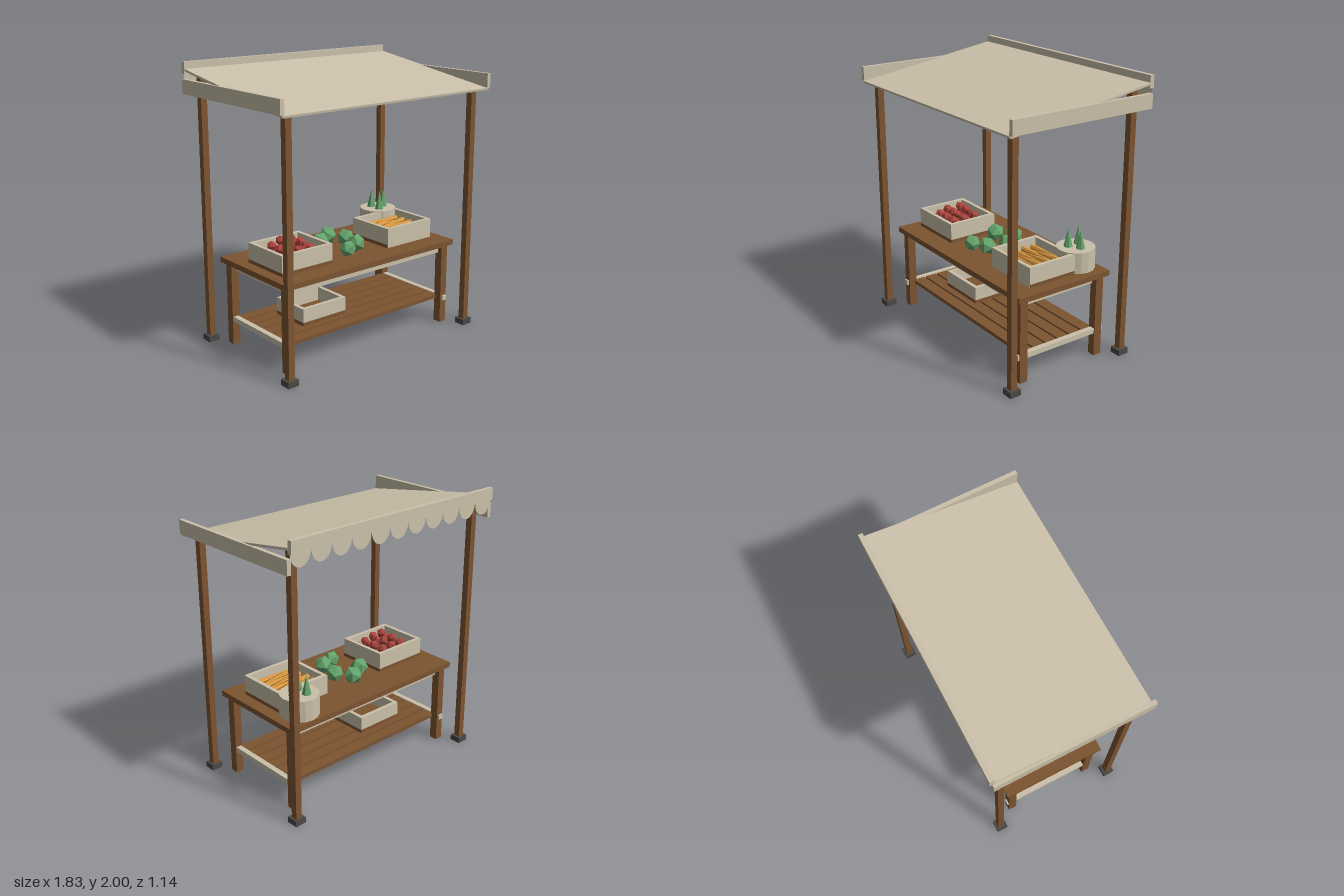
import * as THREE from 'three';

const mat = (name, color) => {
  const m = new THREE.MeshStandardMaterial({ color });
  m.name = name;
  return m;
};

export function createModel() {
  const root = new THREE.Group();
  root.name = 'marketStall';
  const wood = mat('wood', 0x7d5431);
  const cream = mat('cream', 0xcbc0aa);
  const iron = mat('iron', 0x4b4845);
  const green = mat('leafGreen', 0x65a56c);
  const red = mat('tomatoRed', 0xae443d);
  const orange = mat('carrotOrange', 0xd9983f);
  const clothBack = cream.clone();
  clothBack.name = 'scallopCloth';
  clothBack.side = THREE.DoubleSide;
  for (const m of [green, red, orange, cream]) m.flatShading = true;

  let seed = 7;
  const rand = () => (seed = (seed * 16807) % 2147483647) / 2147483647;

  const add = (parent, name, geo, material, x, y, z) => {
    const mesh = new THREE.Mesh(geo, material);
    mesh.name = name;
    mesh.position.set(x, y, z);
    parent.add(mesh);
    return mesh;
  };
  // Box given by its x, y and z limits
  const box = (parent, name, material, x0, x1, y0, y1, z0, z1) =>
    add(parent, name, new THREE.BoxGeometry(x1 - x0, y1 - y0, z1 - z0), material,
      (x0 + x1) / 2, (y0 + y1) / 2, (z0 + z1) / 2);
  const group = (name) => {
    const g = new THREE.Group();
    g.name = name;
    root.add(g);
    return g;
  };

  // Posts with iron feet, and table legs
  const frame = group('frame');
  const table = group('table');
  for (const sx of [-1, 1]) {
    for (const sz of [-1, 1]) {
      const px = sx * 0.815, pz = 0.009 + sz * 0.474;
      box(frame, 'post', wood, px - 0.0235, px + 0.0235, 0.04, sz > 0 ? 1.78 : 1.925, pz - 0.0235, pz + 0.0235);
      box(frame, 'postFoot', iron, px - 0.042, px + 0.042, 0, 0.042, pz - 0.042, pz + 0.042);
      const lx = sx * 0.714, lz = 0.008 + sz * 0.325;
      box(table, 'leg', wood, lx - 0.029, lx + 0.029, 0, 0.606, lz - 0.031, lz + 0.031);
    }
    // Shelf bearer
    const bx = sx * 0.717;
    box(table, 'shelfBearer', cream, bx - 0.02, bx + 0.02, 0.172, 0.21, -0.36, 0.376);
  }

  // Tabletop, apron and shelf slats
  box(table, 'tableTop', wood, -0.772, 0.772, 0.606, 0.645, -0.376, 0.393);
  box(table, 'apron', cream, -0.70, 0.70, 0.545, 0.592, -0.31, 0.326);
  for (let i = 0; i < 6; i++) {
    const z = 0.008 + (i - 2.5) * 0.105;
    box(table, 'shelfSlat', wood, -0.71, 0.71, 0.178, 0.205, z - 0.045, z + 0.045);
  }

  // Sloping canopy with side and back boards
  const canopy = group('canopy');
  const rise = 0.17, run = 1.105;
  const sheet = add(canopy, 'canopySheet', new THREE.BoxGeometry(1.8, 0.015, Math.hypot(rise, run)), cream, 0, 1.86, 0.0125);
  sheet.rotation.x = Math.atan2(rise, run);
  for (const sx of [-1, 1]) {
    const x = sx * 0.901;
    box(canopy, 'sideBoard', cream, x - 0.015, x + 0.015, 1.785, 1.885, -0.55, 0.565);
  }
  box(canopy, 'backBoard', cream, -0.902, 0.898, 1.915, 2.0, -0.57, -0.538);

  // Scalloped trim under the back board
  const scallop = new THREE.Shape();
  scallop.absellipse(0, 0, 0.08, 0.095, Math.PI, Math.PI * 2, false);
  const scallopGeo = new THREE.ShapeGeometry(scallop, 10);
  for (let i = 0; i < 11; i++) {
    add(canopy, 'scallop', scallopGeo, clothBack, (i - 5) * 0.1636, 1.916, -0.556);
  }

  // Open crates: four walls on a wooden base
  const crate = (name, x0, x1, y0, y1, z0, z1, baseInset) => {
    const g = group(name), t = 0.028, b = y0 + 0.003;
    box(g, 'crateBase', wood, x0 - 0.001, x1 + 0.001, y0, y0 + 0.025, z0 + baseInset, z1 - baseInset);
    for (const z of [z0, z1 - t]) box(g, 'longWall', cream, x0, x1, b, y1, z, z + t);
    for (const x of [x0, x1 - t]) box(g, 'endWall', cream, x, x + t, b, y1, z0 + t, z1 - t);
    return g;
  };
  crate('emptyCrate', -0.455, -0.074, 0.205, 0.33, -0.148, 0.16, -0.001);
  const tomatoCrate = crate('tomatoCrate', -0.69, -0.26, 0.645, 0.79, -0.143, 0.243, -0.001);
  const carrotCrate = crate('carrotCrate', 0.254, 0.682, 0.645, 0.79, -0.143, 0.243, 0.004);

  // Tomatoes heaped in layers
  const tomato = new THREE.IcosahedronGeometry(0.035, 0);
  for (const [n, y, dx, dz] of [[4, 0.725, 0.092, 0.083], [3, 0.765, 0.09, 0.095], [2, 0.806, 0.088, 0.112]]) {
    for (let i = 0; i < n; i++) {
      for (let j = 0; j < n; j++) {
        const m = add(tomatoCrate, 'tomato', tomato, red, -0.475 + (i - (n - 1) / 2) * dx, y, 0.05 + (j - (n - 1) / 2) * dz);
        m.rotation.y = rand() * 6;
      }
    }
  }

  // Carrots lying side by side
  const carrot = new THREE.ConeGeometry(0.021, 0.32, 6).rotateZ(-Math.PI / 2);
  for (const [n, y] of [[8, 0.705], [8, 0.74]]) {
    for (let i = 0; i < n; i++) {
      const m = add(carrotCrate, 'carrot', carrot, orange, 0.468 + (rand() - 0.5) * 0.02, y, 0.05 + (i - 3.5) * 0.037);
      m.rotation.y = 0.12 + (rand() - 0.5) * 0.12 + (i % 2) * Math.PI;
    }
  }

  // Cabbages on the tabletop
  const cabbages = group('cabbages');
  for (const [x, z, r] of [[-0.075, 0.185, 0.06], [0.045, 0.135, 0.067], [0.075, -0.02, 0.065], [0, -0.135, 0.068], [-0.13, -0.06, 0.067]]) {
    const m = add(cabbages, 'cabbage', new THREE.IcosahedronGeometry(r, 0), green, x, 0.645 + r * 0.9, z);
    m.rotation.y = rand() * 6;
  }

  // Round planter with three cone shrubs
  const planter = group('planter');
  add(planter, 'planterTub', new THREE.CylinderGeometry(0.137, 0.137, 0.152, 16), cream, 0.58, 0.721, -0.23);
  const shrub = new THREE.ConeGeometry(0.036, 0.15, 6);
  for (let i = 0; i < 3; i++) {
    const a = i * Math.PI * 2 / 3;
    add(planter, 'shrub', shrub, green, 0.58 + Math.cos(a) * 0.052, 0.86, -0.23 + Math.sin(a) * 0.052);
  }
  return root;
}
